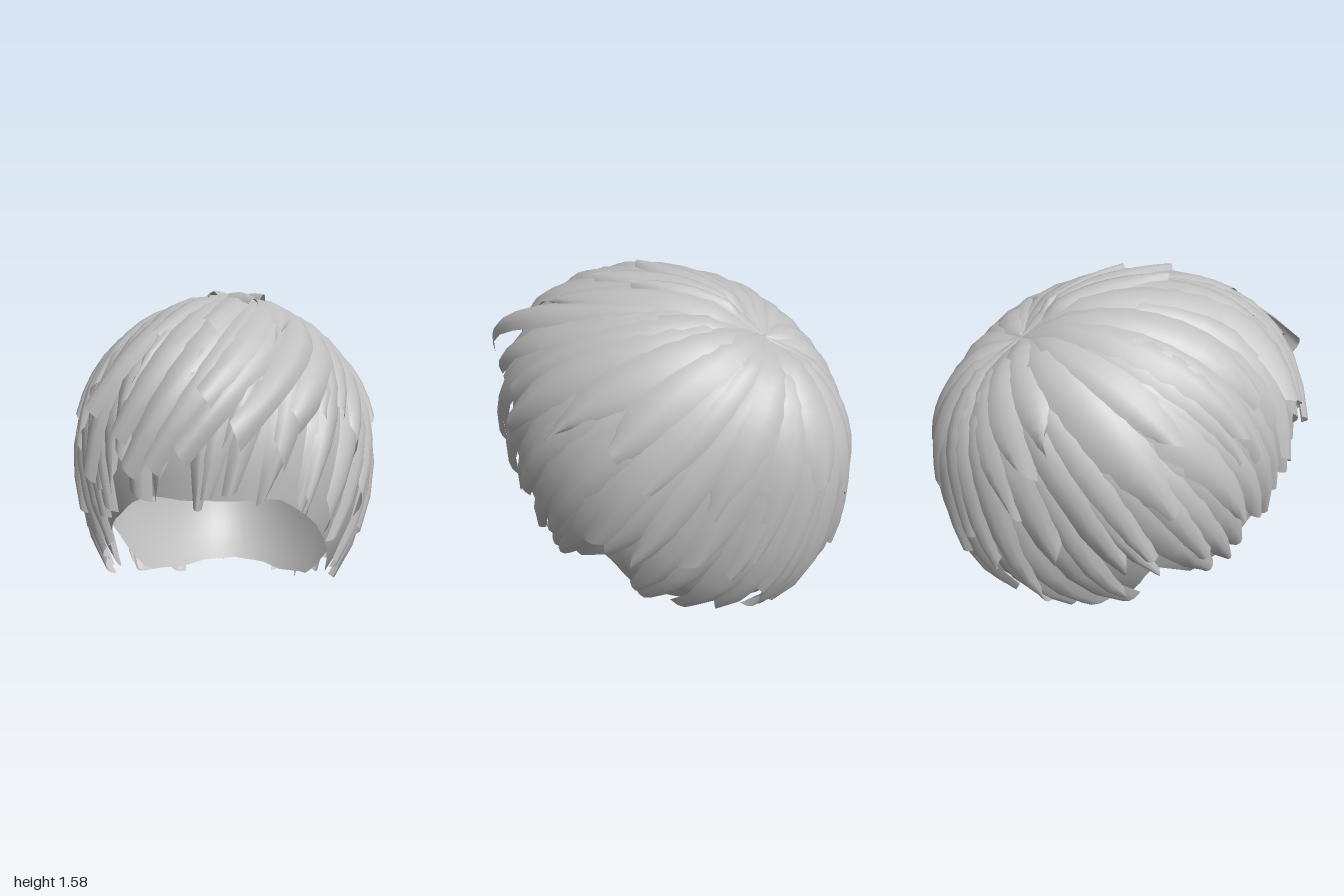
import * as THREE from 'three';

const hairMaterial = new THREE.MeshStandardMaterial({ color: 0xc0c0c0, side: THREE.DoubleSide });
hairMaterial.name = 'hair grey';

// Head frame: an egg with different radii up, down, front and back; the whorl is its pole
const CENTRE = new THREE.Vector3(0, 0.78, -0.05);
const POLE = new THREE.Vector3(-0.04, 0.82, -0.57).normalize();
const EAST = new THREE.Vector3(1, 0, 0).addScaledVector(POLE, -POLE.x).normalize();
const FRONT = new THREE.Vector3().crossVectors(EAST, POLE);

// Point at polar angle s from the whorl, azimuth a (pi/2 = front), pushed out by lift
function headPoint(s, a, lift, out = new THREE.Vector3()) {
  out.copy(POLE).multiplyScalar(Math.cos(s))
    .addScaledVector(EAST, Math.sin(s) * Math.cos(a))
    .addScaledVector(FRONT, Math.sin(s) * Math.sin(a));
  const rx = 0.71, ry = out.y > 0 ? 0.735 : 0.91, rz = out.z > 0 ? 0.85 : 0.9;
  // Fuller forehead and nape, slimmer behind the ears, a dip at the whorl
  const full = 1 + 0.26 * Math.pow(Math.max(0, out.y * out.z), 2)
    - 0.36 * Math.pow(out.x * Math.min(0, out.z), 2)
    - 0.04 * Math.exp(-Math.pow(s / 0.35, 2));
  out.set(out.x * (rx + lift), out.y * (ry + lift), out.z * (rz + lift)).multiplyScalar(full);
  return out.add(CENTRE);
}

// Height of the hairline at depth z: high fringe, sideburns, ear notch, low nape
const HEM = [[-1, 0.02], [-0.45, 0.02], [-0.19, 0.08], [-0.15, 0.32], [-0.08, 0.42], [-0.02, 0.2],
  [0.15, 0.2], [0.3, 0.29], [0.55, 0.55], [0.72, 0.72], [2, 0.75]];
function hemHeight(z) {
  for (let i = 1; i < HEM.length; i++) {
    const [z0, y0] = HEM[i - 1], [z1, y1] = HEM[i];
    if (z <= z1) return y0 + (y1 - y0) * Math.max(0, (z - z0) / (z1 - z0));
  }
  return 0.75;
}
function hemAngle(a) {
  const p = new THREE.Vector3();
  for (let s = 0.5; s < 2.9; s += 0.01) {
    headPoint(s, a, 0, p);
    if (p.y < hemHeight(p.z)) return s;
  }
  return 2.9;
}

let seed = 11;
function rand(lo, hi) {
  seed = (seed * 16807) % 2147483647;
  return lo + (hi - lo) * (seed / 2147483647);
}

// Bends a flat grid by a rule: u runs around the head, t from root to tip
function bentGrid(cols, rows, rule) {
  const g = new THREE.PlaneGeometry(1, 1, cols, rows);
  const pos = g.attributes.position, uv = g.attributes.uv, p = new THREE.Vector3();
  for (let i = 0; i < pos.count; i++) {
    rule(1 - uv.getX(i), 1 - uv.getY(i), p);
    pos.setXYZ(i, p.x, p.y, p.z);
  }
  g.computeVertexNormals();
  return g;
}

// One tapered, domed lock with an obliquely cut tip
function makeLock({ a, s0, s1, width, sweep, base, kick, thick = 0.03, skew = 0, tip }) {
  const geometry = bentGrid(4, 10, (u, t, p) => {
    const v = u * 2 - 1;
    const s = s0 + (s1 - s0) * t + (skew * v - Math.abs(skew)) * Math.pow(t, 4);
    const shape = t < 0.6 ? 0.5 + 0.5 * Math.sin((t / 0.6) * Math.PI / 2)
      : 1 - (1 - tip) * Math.pow((t - 0.6) / 0.4, 1.4);
    const spread = Math.min(width * shape / Math.max(Math.sin(s), 0.1), 0.55);
    const rise = Math.min(1, t * 4 + 0.2);
    const lift = base * rise + thick * (1 - v * v) * rise + kick * t * t * t - 0.012;
    headPoint(s, a + sweep * t * t + v * spread, lift, p);
  });
  return new THREE.Mesh(geometry, hairMaterial);
}

export function createModel() {
  const model = new THREE.Group();
  model.name = 'hair';
  const add = (mesh, name, parent) => { mesh.name = name; parent.add(mesh); };

  // Inner cap closing the gaps between locks
  const hems = Array.from({ length: 73 }, (_, i) => hemAngle((i % 72) / 72 * Math.PI * 2));
  const cap = bentGrid(72, 20, (u, t, p) => {
    headPoint(hems[Math.round(u * 72)] * t, u * Math.PI * 2, -0.02, p);
  });
  add(new THREE.Mesh(cap, hairMaterial), 'innerCap', model);

  // Overlapping rings of locks, long underneath and shorter on top
  const layers = [
    { name: 'longLock', count: 34, reach: [0.96, 1.03], width: 0.14, base: 0.0, kick: 0.012 },
    { name: 'middleLock', count: 26, reach: [0.72, 0.95], width: 0.14, base: 0.012, kick: 0.015 },
    { name: 'upperLock', count: 20, reach: [0.48, 0.76], width: 0.15, base: 0.02, kick: 0.01 },
  ];
  for (const layer of layers) {
    const ring = new THREE.Group();
    ring.name = layer.name + 's';
    for (let i = 0; i < layer.count; i++) {
      const a = (i + rand(-0.25, 0.25)) / layer.count * Math.PI * 2;
      const facing = Math.max(0, Math.sin(a));
      const sweep = rand(-0.06, 0.06) + 0.32 * facing * facing;
      const s1 = hemAngle(a + sweep) * rand(...layer.reach);
      add(makeLock({
        a, sweep, s0: rand(0.01, 0.08), s1, width: layer.width * rand(0.8, 1.2),
        base: layer.base + rand(0, 0.01), kick: layer.kick * rand(0.2, 1.3),
        skew: rand(-0.1, 0.1), tip: rand(0.15, 0.5),
      }), layer.name, ring);
    }
    model.add(ring);
  }

  // Fringe swept towards the right side, tips kicked forward
  const fringe = new THREE.Group();
  fringe.name = 'fringe';
  const bangs = [ // azimuth, sweep, tip angle, width, kick
    [0.85, 0.6, 1.98, 0.1, 0.2], [1.0, 0.75, 2.05, 0.12, 0.06], [1.2, 0.75, 2.08, 0.12, 0.05],
    [1.35, 0.75, 2.08, 0.13, 0.06], [1.5, 0.65, 1.88, 0.15, 0.04], [1.1, 0.5, 1.78, 0.17, 0.05],
    [0.7, 0.4, 1.85, 0.15, 0.04], [0.78, 0.12, 2.25, 0.1, 0.03], [1.75, 0.55, 1.7, 0.16, 0.08],
    [2.0, 0.5, 2.0, 0.12, 0.04],
  ];
  for (const [a, sweep, s1, width, kick] of bangs) {
    add(makeLock({ a, sweep, s0: 0.35, s1, width, kick, base: 0.018, skew: -0.06, tip: 0.25 }), 'fringeLock', fringe);
  }
  model.add(fringe);

  // Loose locks lying over the top of the head
  const tuft = new THREE.Group();
  tuft.name = 'topTuft';
  for (const [a, s1, width, sweep] of [[1.6, 0.84, 0.1, 0], [1.4, 0.98, 0.1, -0.1], [1.25, 0.75, 0.06, -0.1]]) {
    add(makeLock({ a, s0: 0.12, s1, width, sweep, base: 0.04, kick: 0.015, tip: 0.3 }), 'topLock', tuft);
  }
  model.add(tuft);

  // Stand on the ground
  model.position.y = -new THREE.Box3().setFromObject(model).min.y;
  return model;
}
